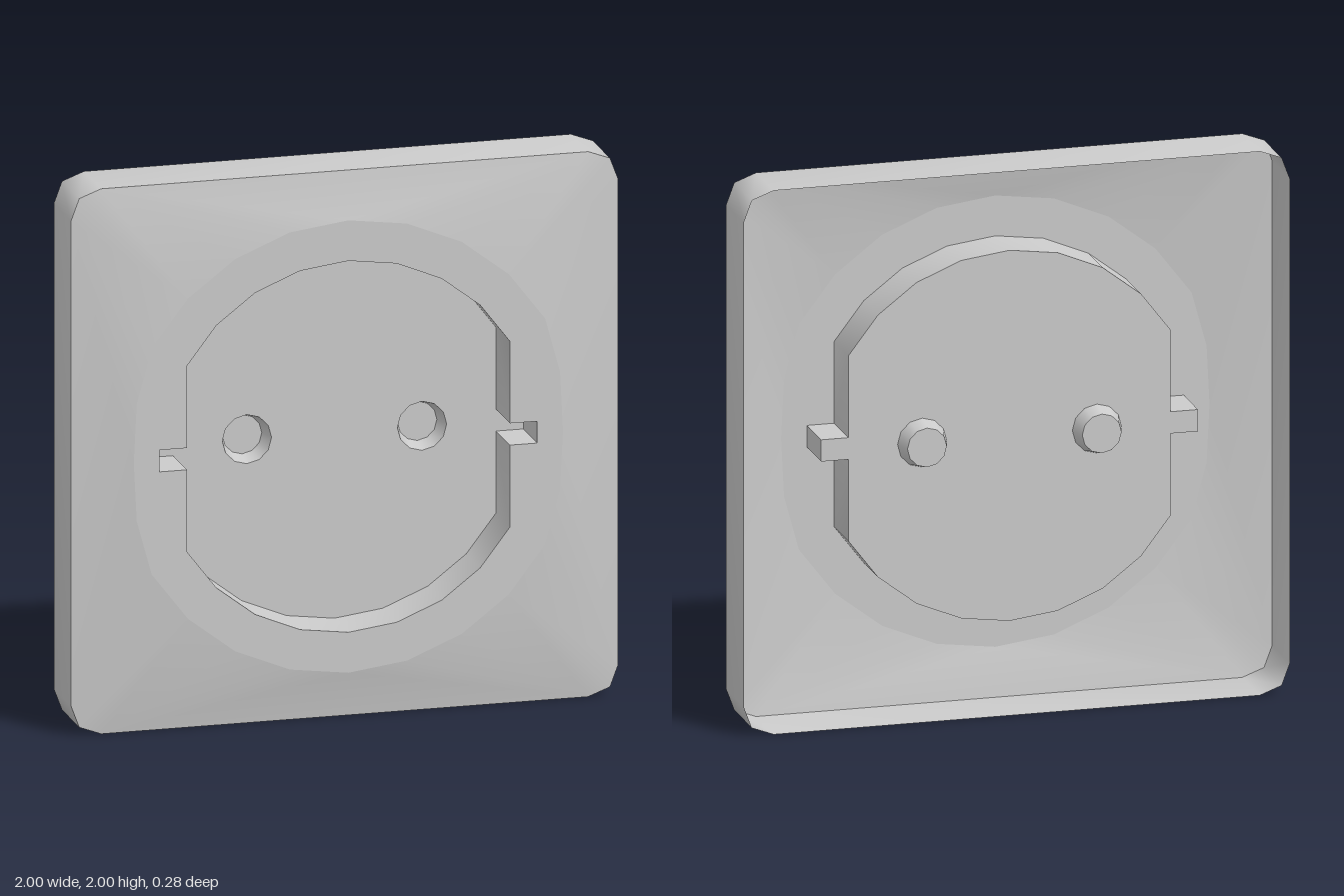
import * as THREE from 'three';
import { toCreasedNormals } from 'three/addons/utils/BufferGeometryUtils.js';

const BACK = -0.14, EDGE = 0.09, FRONT = 0.14, FLOOR = -0.045, TIP = -0.11;
const HOLE_X = 0.32, HOLE_R = 0.09, TIP_R = 0.072;

const material = new THREE.MeshStandardMaterial({ color: 0xcccccc, side: THREE.DoubleSide });
const rad = THREE.MathUtils.degToRad;
const polar = (r, deg) => new THREE.Vector2(r * Math.cos(rad(deg)), r * Math.sin(rad(deg)));

function addMesh(group, name, geometry) {
  const mesh = new THREE.Mesh(geometry, material);
  mesh.name = name;
  group.add(mesh);
  return mesh;
}

function fromTriangles(points, crease) {
  const geometry = new THREE.BufferGeometry().setFromPoints(points);
  geometry.computeVertexNormals();
  return toCreasedNormals(geometry, crease);
}

// Strip along a closed counter-clockwise outline, from depth z0 to z1
function wall(outline, z0, z1) {
  const tris = [];
  outline.forEach((p, i) => {
    const q = outline[(i + 1) % outline.length];
    const [a, b, c, d] = [[p, z0], [q, z0], [q, z1], [p, z1]].map(([v, z]) => new THREE.Vector3(v.x, v.y, z));
    tris.push(a, b, c, a, c, d);
  });
  return fromTriangles(tris, 0.9);
}

// Flat sheet with holes at depth z
function sheet(outline, holes, z) {
  const shape = new THREE.Shape(outline);
  holes.forEach((h) => shape.holes.push(new THREE.Path(h)));
  return new THREE.ShapeGeometry(shape).translate(0, 0, z);
}

// Sloped surface between two outlines with different point counts, joined by angle
function slope(outer, zo, inner, zi) {
  const angle = (v) => (Math.atan2(v.y, v.x) + 2 * Math.PI) % (2 * Math.PI);
  const at = (list, i, z) => {
    const v = list[i % list.length];
    return new THREE.Vector3(v.x, v.y, z);
  };
  const turn = (list, i) => angle(list[i % list.length]) + 2 * Math.PI * Math.floor(i / list.length);
  const middle = (list, i) => turn(list, i) + turn(list, i + 1);
  const tris = [];
  let o = 0, n = 0;
  while (o < outer.length || n < inner.length) {
    const a = at(outer, o, zo), b = at(inner, n, zi);
    const stepOuter = n >= inner.length || (o < outer.length && middle(outer, o) < middle(inner, n));
    if (stepOuter) tris.push(a, at(outer, ++o, zo), b);
    else tris.push(a, at(inner, ++n, zi), b);
  }
  return fromTriangles(tris, 0.9);
}

// Square with bevelled corners, starting just above the +x axis
function plateOutline() {
  const corner = [[1, 0.89], [0.97, 0.97], [0.89, 1]];
  const points = [];
  for (let k = 0; k < 4; k++) {
    corner.forEach(([x, y]) => points.push(new THREE.Vector2(x, y).rotateAround(new THREE.Vector2(), k * Math.PI / 2)));
  }
  return points;
}

// Raised ring, slightly flattened at its left and right
function ringOutline() {
  const points = [];
  for (let k = 0; k < 24; k++) {
    const p = polar(0.83, k * 15);
    if (k % 12 === 0) p.x *= 0.945;
    else if (k % 12 === 1 || k % 12 === 11) p.x *= 0.965;
    points.push(p);
  }
  return points;
}

// Circle cut flat at both sides, with a small slot in each flat
function wellOutline() {
  const half = [new THREE.Vector2(0.59, -0.04), new THREE.Vector2(0.69, -0.04),
    new THREE.Vector2(0.69, 0.04), new THREE.Vector2(0.59, 0.04)];
  for (let a = 30; a <= 150; a += 15) half.push(polar(0.6815, a));
  return [...half, ...half.map((p) => p.clone().negate())];
}

export function createModel() {
  const group = new THREE.Group();
  group.name = 'wallSocketCover';
  const plate = plateOutline(), ring = ringOutline(), well = wellOutline();

  // Cover plate, open at the back
  addMesh(group, 'plateRim', wall(plate, BACK, EDGE));
  addMesh(group, 'plateSlope', slope(plate, EDGE, ring, FRONT));
  addMesh(group, 'frontRing', sheet(ring, [well], FRONT));

  // Recess for the plug
  const holes = [-HOLE_X, HOLE_X].map((x) =>
    Array.from({ length: 12 }, (_, i) => polar(HOLE_R, i * 30).add(new THREE.Vector2(x, 0))));
  addMesh(group, 'wellWall', wall(well, FRONT, FLOOR));
  addMesh(group, 'wellFloor', sheet(well, holes, FLOOR));

  // Tapered, closed pin holes
  [-HOLE_X, HOLE_X].forEach((x, i) => {
    const side = i ? 'left' : 'right';
    const cone = new THREE.CylinderGeometry(HOLE_R, TIP_R, FLOOR - TIP, 12, 1, true).rotateX(Math.PI / 2);
    addMesh(group, side + 'PinHole', cone).position.set(x, 0, (FLOOR + TIP) / 2);
    addMesh(group, side + 'PinHoleEnd', new THREE.CircleGeometry(TIP_R, 12)).position.set(x, 0, TIP);
  });

  group.children.forEach((mesh) => { mesh.position.y += 1; });
  return group;
}
